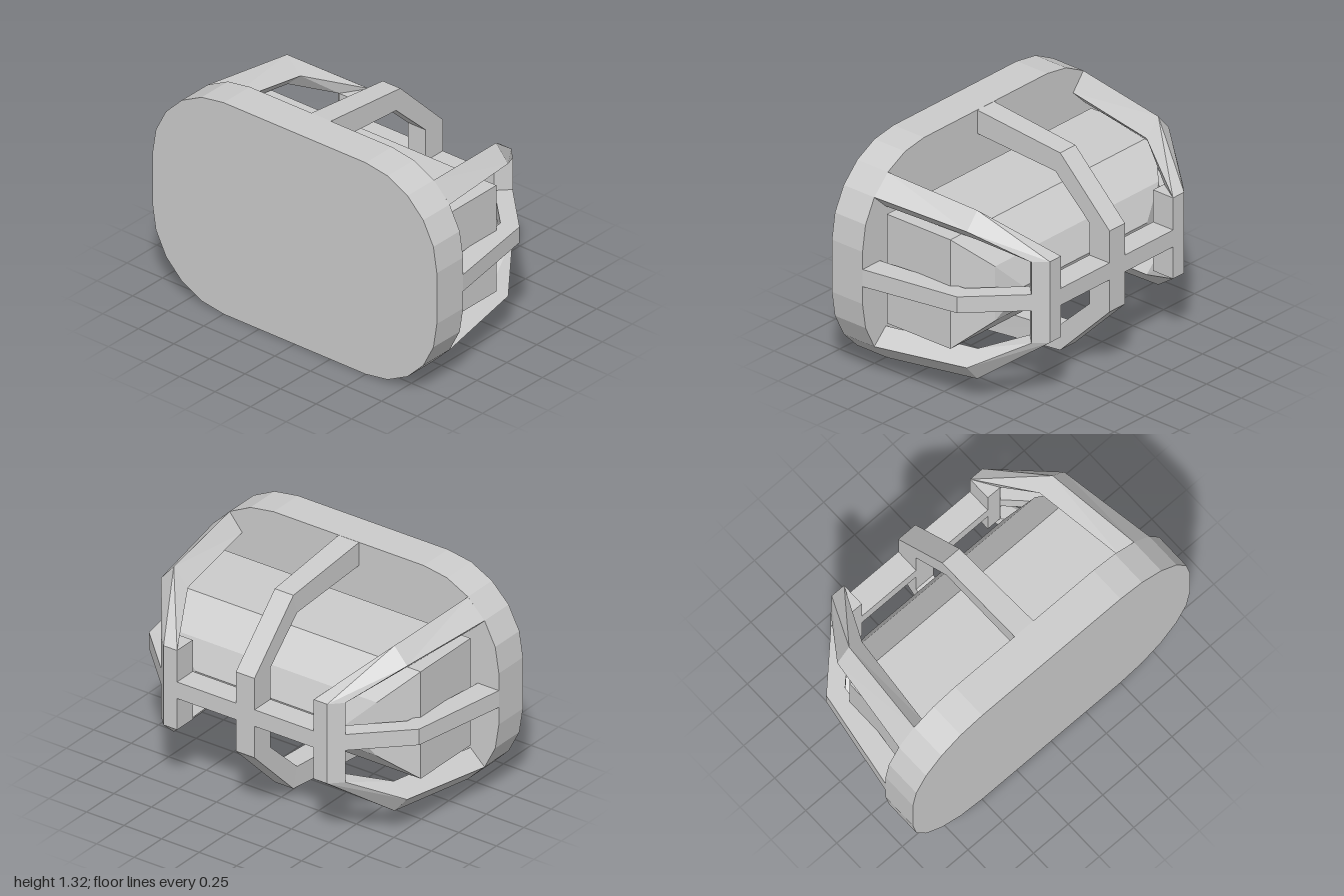
import * as THREE from 'three';

const MID = 0.658; // height of the lamp's axis
const mat = new THREE.MeshStandardMaterial({ color: 0xcccccc, flatShading: true });

// Solid skin through cross-sections with equal point counts, closed by caps at both ends.
// Heights are measured from the axis; winding is turned outward by the signed volume.
function loft(name, sections) {
  const tris = [];
  const n = sections[0].length;
  const last = sections.length - 1;
  const quad = (a, b, c, d) => tris.push([a, b, c], [a, c, d]);
  for (let s = 0; s < last; s++) {
    for (let i = 0; i < n; i++) {
      const j = (i + 1) % n;
      quad(sections[s][i], sections[s][j], sections[s + 1][j], sections[s + 1][i]);
    }
  }
  for (let i = 1; i < n - 1; i++) {
    tris.push([sections[0][0], sections[0][i + 1], sections[0][i]]);
    tris.push([sections[last][0], sections[last][i], sections[last][i + 1]]);
  }
  const v = (p) => new THREE.Vector3(...p);
  const o = v(sections[0][0]);
  let volume = 0;
  for (const [a, b, c] of tris) {
    volume += v(a).sub(o).dot(v(b).sub(o).cross(v(c).sub(o)));
  }
  if (volume < 0) tris.forEach((t) => t.reverse());
  const geo = new THREE.BufferGeometry();
  geo.setAttribute('position', new THREE.Float32BufferAttribute(tris.flat(2), 3));
  geo.computeVertexNormals();
  const mesh = new THREE.Mesh(geo, mat);
  mesh.name = name;
  mesh.position.y = MID;
  return mesh;
}

const mirror = (sections, sy, sz) =>
  sections.map((s) => s.map(([x, y, z]) => [x, y * sy, z * sz]));

// Rounded wall plate, five facets per corner
function backPlate() {
  const ring = (x) => {
    const pts = [];
    [[1, 1], [1, -1], [-1, -1], [-1, 1]].forEach(([sy, sz], q) => {
      for (let i = 0; i <= 5; i++) {
        const a = (q * 5 + i) * Math.PI / 10;
        pts.push([x, sz * -1 * -0.5 + 0.5 * Math.cos(a), sy * 0.5 + 0]);
        pts[pts.length - 1] = [
          x,
          (Math.sin(a) >= -1e-9 && q < 2 ? 1 : -1) * 0.158 + 0.5 * Math.sin(a),
          (q === 0 || q === 3 ? 1 : -1) * 0.5 + 0.5 * Math.cos(a),
        ];
      }
    });
    return pts;
  };
  return loft('backPlate', [ring(-0.585), ring(-0.365)]);
}

// Hipped lens cover narrowing to a ridge
function lens() {
  const rect = (x, y, z) => [[x, y, z], [x, y, -z], [x, -y, -z], [x, -y, z]];
  return loft('lens', [
    rect(-0.34, 0.33, 0.83), rect(0.115, 0.33, 0.83),
    rect(0.29, 0.165, 0.665), rect(0.352, 0, 0.5),
  ]);
}

// Bars in the two middle planes: [x, distance from axis] outside and inside, half width
function middleBar(name, rows, upright, sign) {
  const sections = rows.map(([xo, ro, xi, ri, w]) =>
    [[xo, ro, -w], [xo, ro, w], [xi, ri, w], [xi, ri, -w]].map(([x, r, t]) =>
      upright ? [x, sign * r, t] : [x, t, sign * r]));
  return loft(name, sections);
}

function guard() {
  const g = new THREE.Group();
  g.name = 'guard';
  for (const s of [1, -1]) {
    g.add(middleBar(s > 0 ? 'topBar' : 'bottomBar', [
      [-0.365, 0.657, -0.365, 0.515, 0.068],
      [0.225, 0.597, 0.19, 0.475, 0.062],
      [0.58, 0.245, 0.435, 0.245, 0.062],
    ], true, s));
    g.add(middleBar(s > 0 ? 'leftEndBar' : 'rightEndBar', [
      [-0.365, 1, -0.365, 0.86, 0.052],
      [0.225, 0.9, 0.19, 0.795, 0.049],
      [0.575, 0.545, 0.435, 0.545, 0.049],
    ], false, s));

    // Five-sided front post at each end
    const post = (y) => [[0.578, y, 0.455], [0.578, y, 0.545], [0.507, y, 0.615],
      [0.435, y, 0.545], [0.435, y, 0.455]];
    g.add(loft('frontPost', mirror([post(-0.245), post(0.245)], 1, s)));

    // Corner bars running from the plate to the post ends
    for (const sy of [1, -1]) {
      g.add(loft('cornerBar', mirror([
        [[-0.365, 0.562, 0.794], [-0.365, 0.452, 0.905],
          [-0.365, 0.362, 0.81], [-0.365, 0.46, 0.71]],
        [[0.225, 0.51, 0.735], [0.225, 0.412, 0.82],
          [0.225, 0.328, 0.73], [0.225, 0.412, 0.64]],
        [[0.578, 0.245, 0.455], [0.578, 0.245, 0.545],
          [0.507, 0.245, 0.615], [0.435, 0.245, 0.545]],
      ], sy, s)));
    }
  }

  // Cross at the front
  const box = (name, h, d) => {
    const m = new THREE.Mesh(new THREE.BoxGeometry(0.144, h, d), mat);
    m.name = name;
    m.position.set(0.507, MID, 0);
    g.add(m);
  };
  box('centrePost', 0.49, 0.124);
  box('frontRail', 0.102, 0.92);
  return g;
}

export function createModel() {
  const model = new THREE.Group();
  model.name = 'bulkheadLamp';
  model.add(backPlate(), lens(), guard());
  return model;
}
